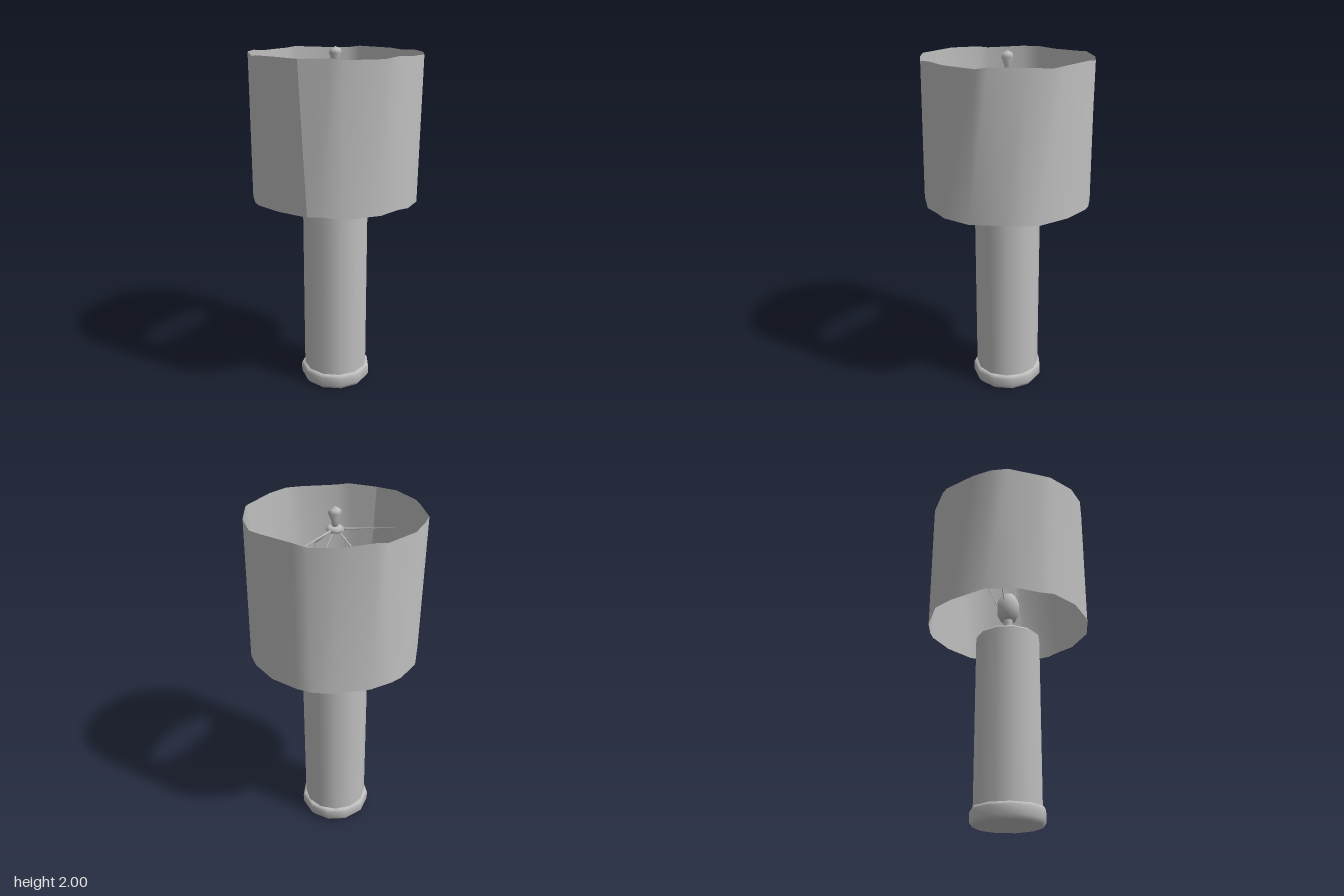
import * as THREE from 'three';

const grey = new THREE.MeshStandardMaterial({ color: 0xbfbfbf, side: THREE.DoubleSide });
grey.name = 'plain grey';

// Straight tapered rod between two points
function rod(name, from, to, r0, r1) {
  const a = new THREE.Vector3(...from), b = new THREE.Vector3(...to);
  const dir = b.clone().sub(a);
  const mesh = new THREE.Mesh(new THREE.CylinderGeometry(r1, r0, dir.length(), 5), grey);
  mesh.name = name;
  mesh.position.copy(a).add(b).multiplyScalar(0.5);
  mesh.quaternion.setFromUnitVectors(new THREE.Vector3(0, 1, 0), dir.normalize());
  return mesh;
}

// Turned part from [radius, height] pairs
function turned(name, profile, sides) {
  const points = profile.map(([r, y]) => new THREE.Vector2(r, y));
  const mesh = new THREE.Mesh(new THREE.LatheGeometry(points, sides), grey);
  mesh.name = name;
  return mesh;
}

// Closed cylinder standing on a given height
function column(name, rTop, rBottom, y0, y1, sides) {
  const mesh = new THREE.Mesh(new THREE.CylinderGeometry(rTop, rBottom, y1 - y0, sides), grey);
  mesh.name = name;
  mesh.position.y = (y0 + y1) / 2;
  return mesh;
}

// Open drum whose rims are uneven polygons, giving slanted folds
function lampShade() {
  const sides = 22;
  const geometry = new THREE.CylinderGeometry(0.478, 0.478, 0.8, sides, 1, true);
  const p = geometry.attributes.position;
  for (let i = 0; i < p.count; i++) {
    const k = i % (sides + 1) % sides;
    const top = p.getY(i) > 0;
    const shift = top ? 0.09 * Math.sin(k * 2.4) : 0.09 * Math.sin(k * 1.7 + 2);
    const angle = (k / sides) * Math.PI * 2 + shift;
    const r = 0.475 + 0.005 * Math.cos(k * 2.1 + (top ? 0 : 2));
    p.setXYZ(i, r * Math.sin(angle), p.getY(i) + 0.006 * Math.sin(k * 1.9), r * Math.cos(angle));
  }
  geometry.computeVertexNormals();
  const mesh = new THREE.Mesh(geometry, grey);
  mesh.name = 'lampShade';
  mesh.position.y = 1.568;
  return mesh;
}

export function createModel() {
  const lamp = new THREE.Group();
  lamp.name = 'tableLamp';

  // Foot, body and neck
  lamp.add(turned('foot', [[0, 0], [0.19, 0], [0.208, 0.025], [0.21, 0.075], [0.2, 0.092], [0.18, 0.092]], 11));
  lamp.add(column('body', 0.189, 0.189, 0.08, 1.09, 12));
  lamp.add(column('bodyRim', 0.178, 0.189, 1.09, 1.102, 12));
  lamp.add(column('neck', 0.03, 0.03, 1.1, 1.26, 8));

  // Bulb holder
  lamp.add(turned('socket', [[0, 1.22], [0.045, 1.22], [0.07, 1.27], [0.07, 1.33], [0.04, 1.39], [0, 1.39]], 8));

  // Wire harp: four bent legs from the holder to the hub
  for (let i = 0; i < 4; i++) {
    const c = Math.round(Math.cos(i * Math.PI / 2)), s = Math.round(Math.sin(i * Math.PI / 2));
    const at = (r, y) => [r * c, y, r * s];
    const leg = new THREE.Group();
    leg.name = 'harpLeg';
    leg.add(rod('harpFoot', at(0.03, 1.25), at(0.12, 1.45), 0.004, 0.004));
    leg.add(rod('harpSide', at(0.12, 1.45), at(0.12, 1.78), 0.004, 0.004));
    leg.add(rod('harpShoulder', at(0.12, 1.78), at(0.02, 1.87), 0.004, 0.004));
    lamp.add(leg);
  }

  // Hub, tapering spokes and finial
  lamp.add(turned('hub', [[0, 1.865], [0.035, 1.865], [0.052, 1.88], [0.035, 1.895], [0, 1.895]], 8));
  for (const [x, z] of [[0.015, -0.34], [-0.28, 0.175]]) {
    lamp.add(rod('spoke', [0, 1.88, 0], [x, 1.88, z], 0.008, 0.001));
  }
  lamp.add(turned('finial', [[0, 1.89], [0.016, 1.89], [0.018, 1.92], [0.037, 1.965], [0.03, 1.985], [0, 2]], 6));

  // Shade
  lamp.add(lampShade());
  return lamp;
}
